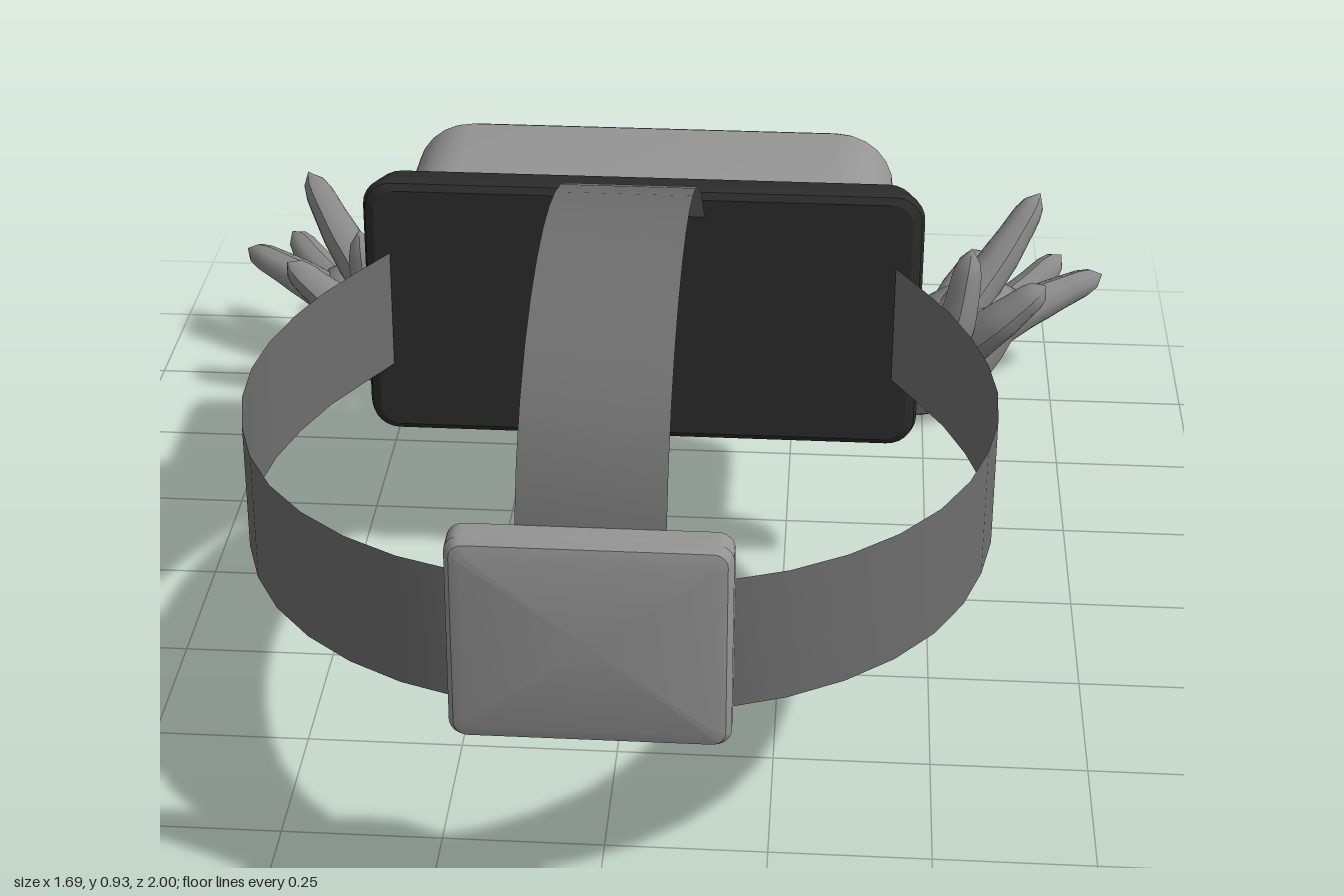
import * as THREE from 'three';
import { toCreasedNormals } from 'three/addons/utils/BufferGeometryUtils.js';

const shell = new THREE.MeshStandardMaterial({ color: 0x959595 });
const dark = new THREE.MeshStandardMaterial({ color: 0x2c2c2c });
const strapMat = new THREE.MeshStandardMaterial({ color: 0x6e6e6e, side: THREE.DoubleSide });
const skin = new THREE.MeshStandardMaterial({ color: 0x8a8a8a, side: THREE.DoubleSide });

function mesh(name, geometry, material) {
  const m = new THREE.Mesh(geometry, material);
  m.name = name;
  return m;
}

// Outline of a rounded rectangle, counter-clockwise
const CORNER = 6;
function roundedRect(w, h, r) {
  const pts = [];
  for (let c = 0; c < 4; c++) {
    const sx = c === 0 || c === 3 ? 1 : -1, sy = c < 2 ? 1 : -1;
    for (let i = 0; i <= CORNER; i++) {
      const a = (c + i / CORNER) * Math.PI / 2;
      pts.push([sx * (w - r) + r * Math.cos(a), sy * (h - r) + r * Math.sin(a)]);
    }
  }
  return pts;
}

// Closed body lofted through rounded rectangles: [halfWidth, halfHeight, cornerRadius, z]
function slab(cy, rings) {
  const pos = [], idx = [], n = 4 * (CORNER + 1);
  for (const [w, h, r, z] of rings)
    for (const [x, y] of roundedRect(w, h, r)) pos.push(x, y + cy, z);
  const last = (rings.length - 1) * n, back = pos.length / 3;
  pos.push(0, cy, rings[0][3], 0, cy, rings.at(-1)[3]);
  for (let i = 0; i < n; i++) {
    const j = (i + 1) % n;
    for (let k = 0; k < last; k += n)
      idx.push(k + i, k + j, k + n + j, k + i, k + n + j, k + n + i);
    idx.push(back, j, i, back + 1, last + i, last + j);
  }
  const g = new THREE.BufferGeometry();
  g.setAttribute('position', new THREE.Float32BufferAttribute(pos, 3));
  g.setIndex(idx);
  return toCreasedNormals(g, 0.35);
}

// Thin band following a curve, spread evenly along a width vector
function ribbon(points, width, segments) {
  const curve = new THREE.CatmullRomCurve3(points.map(p => new THREE.Vector3(...p)));
  const g = new THREE.PlaneGeometry(1, 1, segments, 1), p = g.attributes.position;
  const half = new THREE.Vector3(...width).multiplyScalar(0.5);
  for (let i = 0; i < p.count; i++) {
    const v = curve.getPointAt((i % (segments + 1)) / segments);
    v.addScaledVector(half, i <= segments ? 1 : -1);
    p.setXYZ(i, v.x, v.y, v.z);
  }
  g.computeVertexNormals();
  return g;
}

// Tube with changing radius, optionally flattened along one direction
function limb(points, radii, side, flatDir, flat) {
  const curve = new THREE.CatmullRomCurve3(points.map(([x, y, z]) => new THREE.Vector3(x * side, y, z)));
  const n = 12, sides = 9;
  const g = new THREE.TubeGeometry(curve, n, 1, sides), p = g.attributes.position;
  const dir = flatDir && new THREE.Vector3(flatDir[0] * side, flatDir[1], flatDir[2]).normalize();
  const v = new THREE.Vector3();
  for (let i = 0; i < p.count; i++) {
    const t = Math.floor(i / (sides + 1)) / n, c = curve.getPointAt(t);
    const f = t * (radii.length - 1), k = Math.min(Math.floor(f), radii.length - 2);
    v.fromBufferAttribute(p, i).sub(c).multiplyScalar(THREE.MathUtils.lerp(radii[k], radii[k + 1], f - k));
    if (dir) v.addScaledVector(dir, -v.dot(dir) * (1 - flat));
    v.add(c);
    p.setXYZ(i, v.x, v.y, v.z);
  }
  g.computeVertexNormals();
  return g;
}

function hand(name, side) {
  const g = new THREE.Group();
  g.name = name;
  // Palm, open at the wrist
  g.add(mesh('palm', limb(
    [[0.44, 0.055, -0.68], [0.5, 0.09, -0.71], [0.58, 0.15, -0.785], [0.68, 0.195, -0.865]],
    [0.06, 0.098, 0.11, 0.115, 0.11, 0.095, 0.07, 0], side, [-0.5, 0.75, 0.3], 0.75), skin));
  // Digits: base, middle joint, tip
  const digits = {
    thumb: [[0.57, 0.16, -0.68], [0.635, 0.23, -0.65], [0.72, 0.31, -0.65]],
    raisedFinger: [[0.5, 0.1, -0.66], [0.55, 0.22, -0.63], [0.578, 0.385, -0.645]],
    indexFinger: [[0.56, 0.19, -0.75], [0.64, 0.29, -0.81], [0.715, 0.395, -0.885]],
    middleFinger: [[0.61, 0.15, -0.76], [0.72, 0.19, -0.82], [0.845, 0.225, -0.885]],
    ringFinger: [[0.59, 0.13, -0.79], [0.68, 0.165, -0.88], [0.77, 0.225, -0.97]],
    littleFinger: [[0.53, 0.13, -0.8], [0.565, 0.17, -0.89], [0.615, 0.215, -0.998]],
  };
  for (const [part, pts] of Object.entries(digits))
    g.add(mesh(part, limb(pts, [0.045, 0.045, 0.043, 0.04, 0.038, 0.037, 0.034, 0.031, 0.029, 0.025, 0], side), skin));
  return g;
}

export function createModel() {
  const model = new THREE.Group();
  model.name = 'headsetWithHands';

  // Visor body and soft face cushion
  model.add(mesh('visor', slab(0.518, [
    [0.385, 0.172, 0.07, -0.415], [0.408, 0.195, 0.09, -0.405], [0.42, 0.207, 0.1, -0.375], [0.42, 0.207, 0.1, -0.13],
  ]), shell));
  model.add(mesh('faceCushion', slab(0.517, [
    [0.415, 0.205, 0.04, -0.145], [0.44, 0.22, 0.045, -0.137], [0.458, 0.228, 0.05, -0.12],
    [0.47, 0.235, 0.05, -0.075], [0.465, 0.231, 0.045, -0.06], [0.45, 0.22, 0.035, -0.052],
  ]), dark));

  // Battery block at the back of the head
  model.add(mesh('rearBlock', slab(0.53, [
    [0.175, 0.138, 0.01, 0.927], [0.192, 0.155, 0.02, 0.932], [0.2, 0.163, 0.025, 0.945],
    [0.2, 0.163, 0.025, 0.98], [0.192, 0.155, 0.02, 0.993], [0.175, 0.138, 0.01, 0.998],
  ]), shell));

  // Strap around the head
  const half = [[0.42, -0.06], [0.52, 0.13], [0.575, 0.33], [0.573, 0.5], [0.51, 0.7], [0.4, 0.84], [0.25, 0.935], [0.1, 0.972]];
  const loop = [
    ...half.map(([x, z]) => [x, 0.518, z]),
    ...half.slice().reverse().map(([x, z]) => [-x, 0.518, z]),
  ];
  model.add(mesh('sideStrap', ribbon(loop, [0, 0.21, 0], 30), strapMat));

  // Strap over the head
  const over = [[-0.06, 0.7], [0.1, 0.825], [0.3, 0.91], [0.5, 0.941], [0.69, 0.918], [0.835, 0.85], [0.93, 0.74], [0.965, 0.6]];
  model.add(mesh('topStrap', ribbon(over.map(([z, y]) => [0, y, z]), [0.21, 0, 0], 14), strapMat));

  model.add(hand('leftHand', 1), hand('rightHand', -1));
  return model;
}
